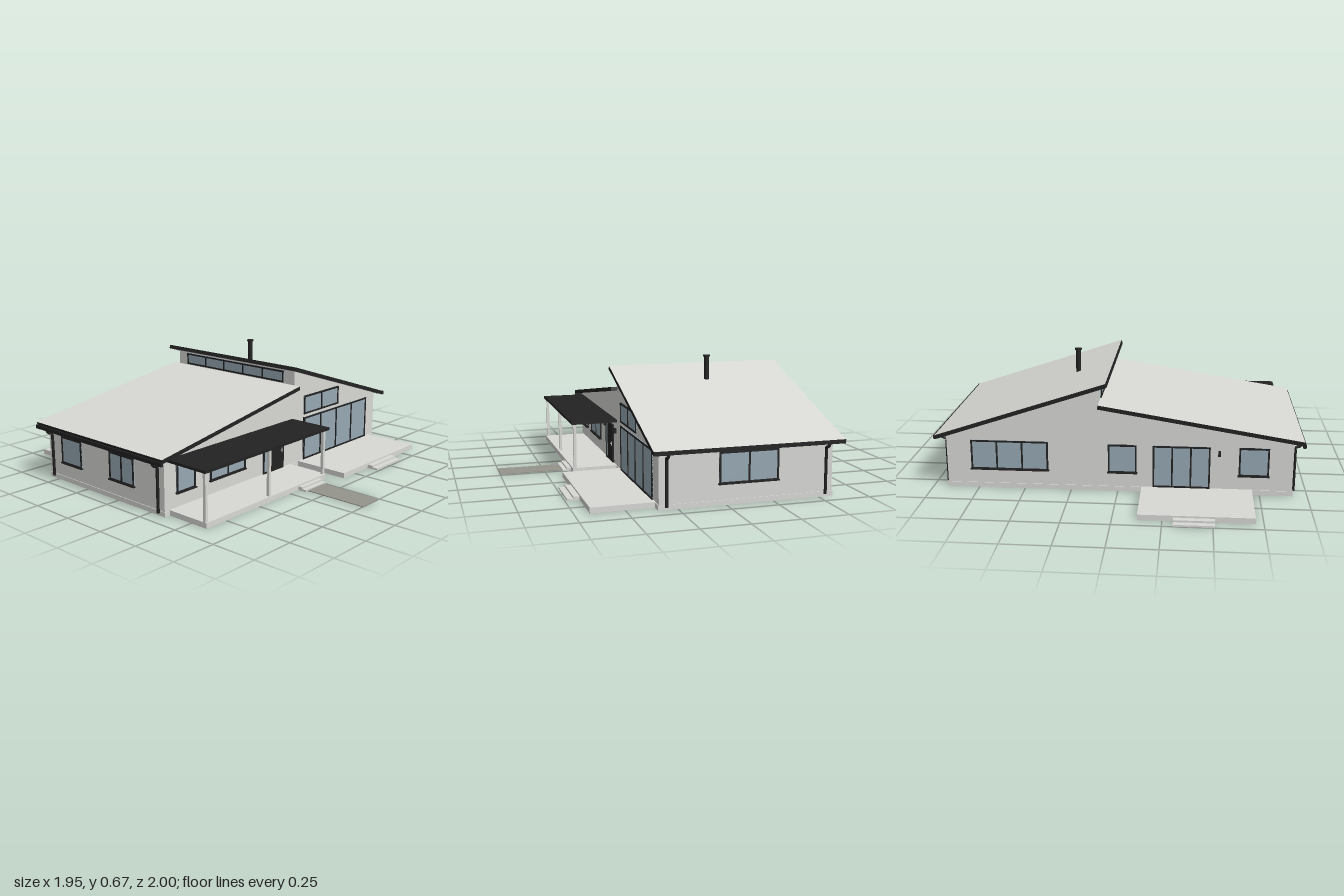
import * as THREE from 'three';

const mat = (name, color) => {
  const m = new THREE.MeshStandardMaterial({ color });
  m.name = name;
  return m;
};

export function createModel() {
  const light = mat('light render', 0xd8d8d5);
  const black = mat('black trim', 0x222222);
  const glass = mat('window glass', 0x97a8b4);
  const paving = mat('path paving', 0x94948c);
  const metal = mat('door metal', 0xb8b8b8);

  const house = new THREE.Group();
  house.name = 'house';

  const add = (name, geometry, material, parent = house) => {
    const mesh = new THREE.Mesh(geometry, material);
    mesh.name = name;
    parent.add(mesh);
    return mesh;
  };
  // Box given by its minimum and maximum on each axis
  const box = (name, material, x0, x1, y0, y1, z0, z1, parent = house) => {
    const mesh = add(name, new THREE.BoxGeometry(x1 - x0, y1 - y0, z1 - z0), material, parent);
    mesh.position.set((x0 + x1) / 2, (y0 + y1) / 2, (z0 + z1) / 2);
    return mesh;
  };

  const FRONT = 0.347, BACK = -0.575, SIDE = 0.92, RIDGE = 0.1;

  // Walls: one gable section run from back to front
  const section = new THREE.Shape([
    [-SIDE, 0], [SIDE, 0], [SIDE, 0.297], [RIDGE, 0.568], [RIDGE, 0.466], [-SIDE, 0.302],
  ].map(([x, y]) => new THREE.Vector2(x, y)));
  const walls = add('walls', new THREE.ExtrudeGeometry(section, { depth: FRONT - BACK, bevelEnabled: false }), light);
  walls.position.z = BACK;
  box('plinth', light, -SIDE - 0.004, SIDE + 0.004, 0, 0.026, BACK - 0.004, FRONT + 0.004);

  // Roof slabs with dark edges, given by the ends of the top line
  const roof = (name, x0, y0, x1, y1) => {
    const t = 0.022, a = Math.atan2(y1 - y0, x1 - x0);
    const slab = add(name, new THREE.BoxGeometry(Math.hypot(x1 - x0, y1 - y0), t, 1.005),
      [black, black, light, light, black, black]);
    slab.rotation.z = a;
    slab.position.set((x0 + x1) / 2 + Math.sin(a) * t / 2, (y0 + y1) / 2 - Math.cos(a) * t / 2, -0.117);
  };
  roof('longRoof', -0.968, 0.316, 0.1, 0.488);
  roof('highRoof', 0.06, 0.604, 0.97, 0.302);

  // Gutters and downpipes on both eaves
  for (const s of [-1, 1]) {
    const gutter = add('gutter', new THREE.BoxGeometry(0.016, 0.02, 1.005), black);
    gutter.position.set(s * 0.968, 0.292, -0.117);
    for (const z of [0.31, -0.535]) {
      const path = new THREE.CurvePath();
      const p = [[0.965, 0.285], [0.96, 0.268], [0.93, 0.258], [0.93, 0.015]]
        .map(([x, y]) => new THREE.Vector3(s * x, y, z));
      for (let i = 0; i < 3; i++) path.add(new THREE.LineCurve3(p[i], p[i + 1]));
      add('downpipe', new THREE.TubeGeometry(path, 24, 0.008, 8), black);
    }
  }

  // Chimney pipe with cap
  const flue = add('chimney', new THREE.CylinderGeometry(0.014, 0.014, 0.14, 20), black);
  flue.position.set(0.262, 0.595, -0.125);
  const cap = add('chimneyCap', new THREE.CylinderGeometry(0.02, 0.02, 0.008, 20), black);
  cap.position.set(0.262, 0.666, -0.125);

  // A group lying on one wall; local x runs along it and local z points outwards
  const onWall = (name, wall, u, y) => {
    const g = new THREE.Group();
    g.name = name;
    const place = {
      front: [u, FRONT, 0], back: [u, BACK, Math.PI],
      plusX: [SIDE, u, Math.PI / 2], minusX: [-SIDE, u, -Math.PI / 2],
      clerestory: [RIDGE, u, -Math.PI / 2],
    }[wall];
    g.position.set(place[0], y, place[1]);
    g.rotation.y = place[2];
    house.add(g);
    return g;
  };

  // Framed window split into equal panes, with an optional sill
  const F = 0.009;
  const framedWindow = (name, wall, u0, u1, y0, y1, panes, sill = true) => {
    const g = onWall(name, wall, (u0 + u1) / 2, (y0 + y1) / 2);
    const w = (u1 - u0) / 2, h = (y1 - y0) / 2;
    box('pane', glass, -w, w, -h, h, 0, 0.005, g);
    box('frameTop', black, -w, w, h - F, h, 0, F, g);
    box('frameBottom', black, -w, w, -h, F - h, 0, F, g);
    for (let i = 0; i <= panes; i++) {
      const x = -w + F / 2 + (2 * w - F) * i / panes;
      box('frameUpright', black, x - F / 2, x + F / 2, -h, h, 0, F, g);
    }
    if (sill) box('sill', black, -w - 0.004, w + 0.004, -h - 0.003, 0.004 - h, 0, 0.014, g);
  };
  framedWindow('smallFrontWindow', 'front', -0.84, -0.708, 0.103, 0.258, 1);
  framedWindow('wideFrontWindow', 'front', -0.6, -0.325, 0.103, 0.258, 2);
  framedWindow('terraceDoors', 'front', 0.187, 0.825, 0.029, 0.283, 4, false);
  framedWindow('upperFrontWindow', 'front', 0.187, 0.522, 0.302, 0.411, 2, false);
  framedWindow('sideWindow', 'plusX', -0.277, 0.039, 0.108, 0.27, 2);
  framedWindow('rearSideWindow', 'minusX', -0.46, -0.29, 0.105, 0.258, 1);
  framedWindow('frontSideWindow', 'minusX', -0.06, 0.13, 0.105, 0.258, 2);
  framedWindow('wideBackWindow', 'back', 0.372, 0.788, 0.105, 0.268, 3);
  framedWindow('middleBackWindow', 'back', -0.1, 0.052, 0.105, 0.262, 1);
  framedWindow('deckDoors', 'back', -0.488, -0.185, 0.03, 0.262, 3, false);
  framedWindow('cornerBackWindow', 'back', -0.795, -0.637, 0.105, 0.262, 1);
  framedWindow('clerestoryWindow', 'clerestory', -0.5, 0.272, 0.494, 0.562, 5, false);

  // Front door with sidelight and handle
  framedWindow('sidelight', 'front', -0.175, -0.113, 0.029, 0.252, 1, false);
  box('frontDoor', black, -0.118, 0.002, 0.029, 0.252, FRONT, FRONT + 0.009);
  box('doorHandlePlate', metal, -0.02, -0.015, 0.125, 0.15, FRONT + 0.009, FRONT + 0.012);
  box('doorHandle', metal, -0.034, -0.015, 0.136, 0.14, FRONT + 0.012, FRONT + 0.017);

  // Wall lamps
  for (const [wall, u] of [['front', -0.206], ['front', 0.055], ['back', -0.535]]) {
    const lamp = onWall('wallLamp', wall, u, 0.228);
    box('lampBody', black, -0.007, 0.007, -0.016, 0.014, 0, 0.012, lamp);
  }

  // Porch: floor, posts and flat roof
  box('porchFloor', light, -0.89, 0.068, 0, 0.029, FRONT, 0.603);
  box('porchRoof', black, -0.9, 0.085, 0.281, 0.295, FRONT, 0.608);
  for (const x of [-0.88, -0.408, 0.057])
    box('porchPost', light, x - 0.008, x + 0.008, 0.029, 0.281, 0.58, 0.596);

  // Terraces, steps and path
  box('frontTerrace', light, 0.142, 0.87, 0, 0.029, FRONT, 0.675);
  box('backDeck', light, -0.71, -0.126, 0, 0.029, -0.937, BACK);
  const steps = (x0, x1, z, dir, run) => {
    for (let i = 0; i < 2; i++) {
      const a = z, b = z + dir * run * (2 - i);
      box('step', light, x0, x1, i * 0.01, i * 0.01 + 0.01, Math.min(a, b), Math.max(a, b));
    }
  };
  steps(0.38, 0.626, 0.675, 1, 0.032);
  steps(-0.51, -0.305, -0.937, -1, 0.0315);
  steps(-0.175, 0.006, 0.603, 1, 0.024);
  box('gardenPath', paving, -0.155, -0.014, 0, 0.004, 0.651, 1);

  return house;
}
